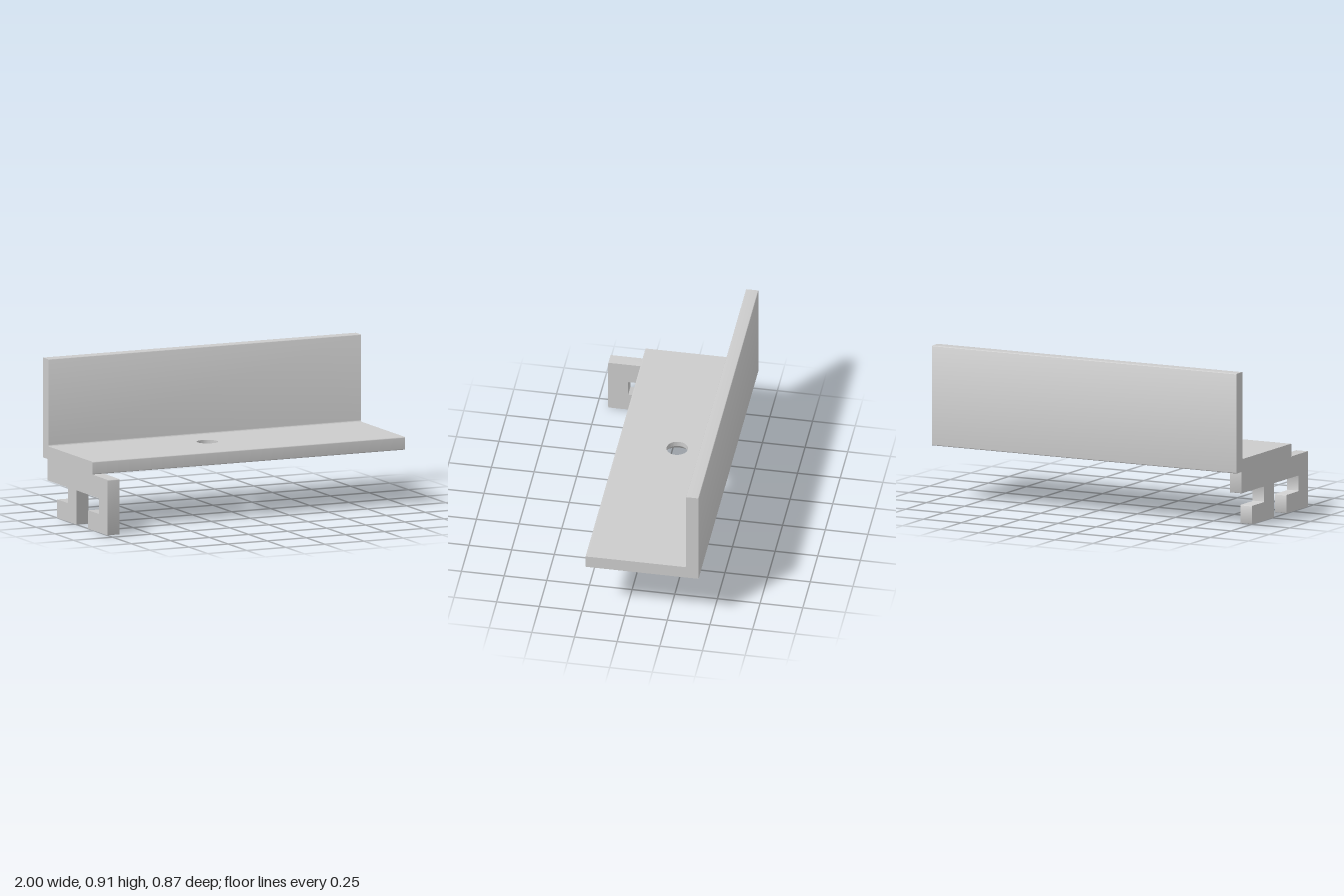
import * as THREE from 'three';
import { toCreasedNormals } from 'three/addons/utils/BufferGeometryUtils.js';

const material = new THREE.MeshStandardMaterial({ color: 0xcccccc });

// Closed outline whose corners [z, y, radius] are softened; local x is -z
function roundedProfile(corners) {
  const shape = new THREE.Shape();
  const points = corners.map(([z, y]) => new THREE.Vector2(-z, y));
  const n = points.length;
  points.forEach((p, i) => {
    const r = corners[i][2] ?? 0.006;
    const toward = (q) => q.clone().sub(p).setLength(r).add(p);
    const a = toward(points[(i + n - 1) % n]);
    const b = toward(points[(i + 1) % n]);
    if (i === 0) shape.moveTo(a.x, a.y);
    else shape.lineTo(a.x, a.y);
    if (r > 0) shape.quadraticCurveTo(p.x, p.y, b.x, b.y);
  });
  shape.closePath();
  return shape;
}

// Extrudes a z-y profile along x, from x0 to x1
function profileBar(name, corners, x0, x1) {
  const geometry = new THREE.ExtrudeGeometry(roundedProfile(corners), {
    depth: x1 - x0, bevelEnabled: false, curveSegments: 4,
  });
  geometry.rotateY(Math.PI / 2).translate(x0, 0, 0);
  const mesh = new THREE.Mesh(toCreasedNormals(geometry, 0.6), material);
  mesh.name = name;
  return mesh;
}

// Shelf plate with a screw hole that flares out underneath
function shelfPlate(zBack, zFront, y0, y1) {
  const hole = { x: -0.1, z: -0.115, r: 0.062, flare: 0.105, flareHeight: 0.045 };
  const shape = new THREE.Shape([
    new THREE.Vector2(-1, -zFront), new THREE.Vector2(1, -zFront),
    new THREE.Vector2(1, -zBack), new THREE.Vector2(-1, -zBack),
  ]);
  shape.holes.push(new THREE.Path().absarc(hole.x, -hole.z, hole.r, 0, Math.PI * 2, true));
  const height = y1 - y0;
  const geometry = new THREE.ExtrudeGeometry(shape, {
    depth: height, steps: 2, bevelEnabled: false, curveSegments: 24,
  });
  geometry.rotateX(-Math.PI / 2);

  // Set the height of the middle ring and widen the bottom ring
  const pos = geometry.attributes.position;
  for (let i = 0; i < pos.count; i++) {
    const y = pos.getY(i);
    const dx = pos.getX(i) - hole.x;
    const dz = pos.getZ(i) - hole.z;
    if (Math.abs(y - height / 2) < 0.001) pos.setY(i, hole.flareHeight);
    if (y < 0.001 && Math.hypot(dx, dz) < hole.r * 1.05) {
      const k = hole.flare / hole.r;
      pos.setX(i, hole.x + dx * k);
      pos.setZ(i, hole.z + dz * k);
    }
  }
  geometry.translate(0, y0, 0);
  const mesh = new THREE.Mesh(toCreasedNormals(geometry, 0.5), material);
  mesh.name = 'shelfPlate';
  return mesh;
}

export function createModel() {
  const model = new THREE.Group();
  model.name = 'railBracket';
  const bottom = 0.325, shelfTop = 0.4, back = -0.434, front = 0.23;

  // Angle: upright wall with its inner fillet, drilled shelf, rounded front lip
  const angle = new THREE.Group();
  angle.name = 'angle';
  angle.add(
    profileBar('backWall', [
      [-0.34, bottom, 0], [back, bottom], [back, 0.91], [-0.36, 0.91],
      [-0.36, shelfTop, 0.01], [-0.34, shelfTop, 0],
    ].reverse(), -1, 1),
    shelfPlate(-0.34, 0.21, bottom, shelfTop),
    profileBar('frontLip', [
      [0.21, bottom, 0], [0.21, shelfTop, 0], [front, shelfTop], [front, bottom],
    ], -1, 1),
  );
  model.add(angle);

  // Clip at the right end, with two hooks that both point backward
  model.add(profileBar('hookClip', [
    [0.434, 0], [0.17, 0], [0.17, 0.108], [0.318, 0.108], [0.318, 0.2],
    [0.018, 0.2], [0.018, 0], [-0.247, 0], [-0.247, 0.108], [-0.1, 0.108],
    [-0.1, 0.2], [-0.375, 0.2], [-0.375, bottom], [0.434, bottom],
  ], -1, -0.925));

  return model;
}
